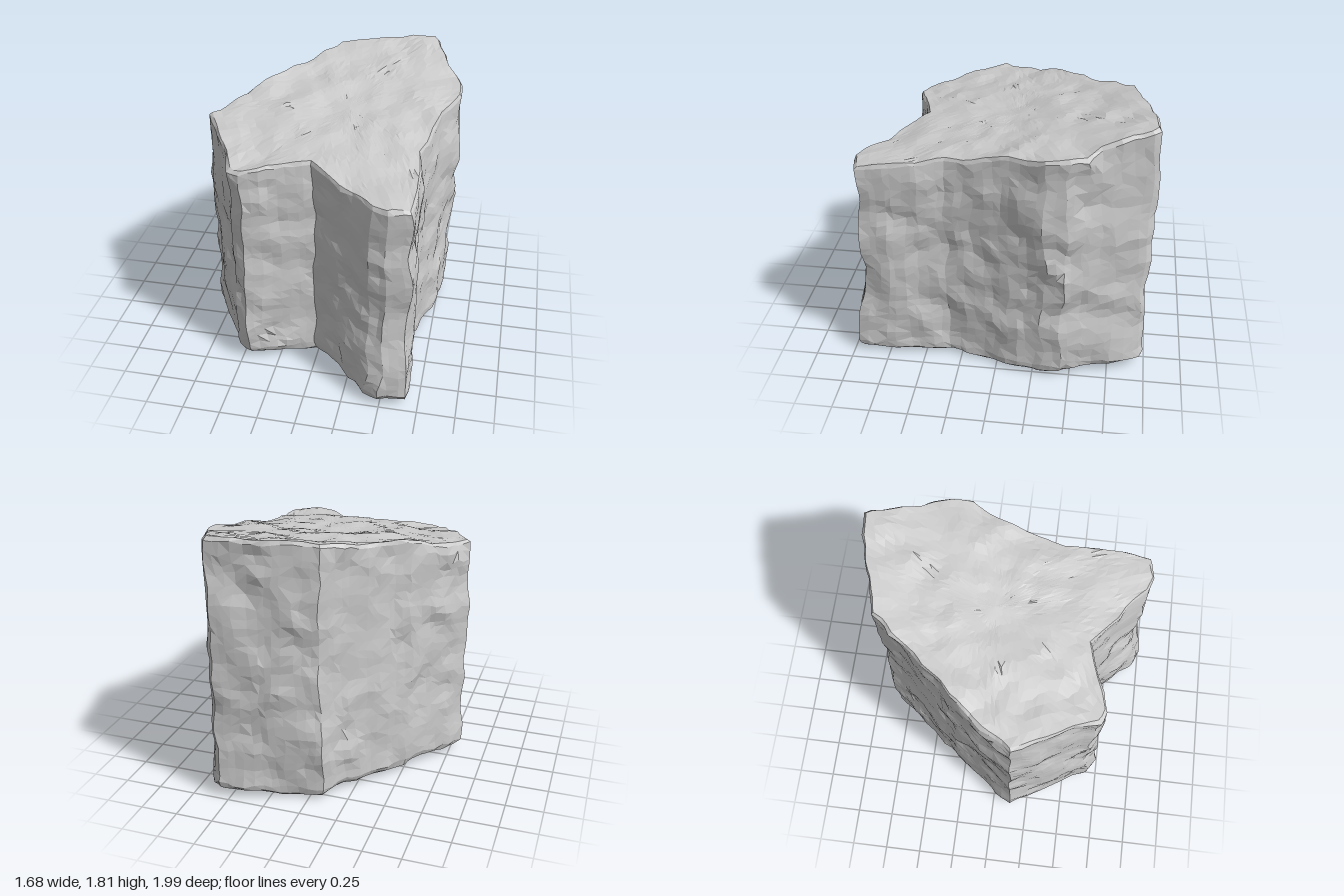
import * as THREE from 'three';

// Plan of the boulder as [x, z], counter-clockwise seen from above
const PLAN = [
  [0.57, -0.985], [0.24, -0.91], [-0.09, -0.825], [-0.45, -0.37], [-0.53, -0.3], [-0.82, 0.12], [-0.64, 0.45],
  [-0.53, 0.65], [-0.45, 0.7], [-0.22, 0.62], [-0.02, 0.54], [0.22, 0.74], [0.4, 0.9], [0.5, 0.93],
  [0.65, 0.89], [0.67, 0.72], [0.63, 0.33], [0.7, 0.02], [0.81, -0.32], [0.81, -0.45], [0.71, -0.66], [0.6, -0.95],
];
const CENTRE = [0.1, -0.08];
const WALL_ROWS = 26, CAP_RINGS = 14, STEP = 0.06;
const { smoothstep } = THREE.MathUtils;

// Seeded lattice value in -1..1
function hash(x, y, z, seed) {
  let h = Math.imul(x, 374761393) ^ Math.imul(y, 668265263) ^ Math.imul(z, 873305469) ^ Math.imul(seed, 974634777);
  h = Math.imul(h ^ (h >>> 13), 1274126177);
  h = Math.imul(h ^ (h >>> 15), 2246822519);
  return ((h ^ (h >>> 16)) >>> 0) / 2147483648 - 1;
}

// Linear lattice noise on a tilted lattice, which leaves crisp creases at odd angles
function noise(px, py, pz, frequency, seed) {
  const x = (0.64 * px + 0.6 * py - 0.48 * pz) * frequency;
  const y = (-0.48 * px + 0.8 * py + 0.36 * pz) * frequency;
  const z = (0.6 * px + 0.8 * pz) * frequency;
  const i = Math.floor(x), j = Math.floor(y), k = Math.floor(z);
  let sum = 0;
  for (let c = 0; c < 8; c++) {
    const a = c & 1, b = (c >> 1) & 1, d = c >> 2;
    const w = (a ? x - i : 1 - x + i) * (b ? y - j : 1 - y + j) * (d ? z - k : 1 - z + k);
    sum += w * hash(i + a, j + b, k + d, seed);
  }
  return sum;
}

// Chipped-stone displacement: walls move sideways, underside and top move up and down
function chip(x, y, z, sideways, upright) {
  const push = (seed) => 0.026 * noise(x, y, z, 4, seed) + 0.024 * noise(x, y, z, 9, seed + 5);
  return [
    x + push(1) * sideways,
    Math.max(0, y + push(2) * upright),
    THREE.MathUtils.clamp(z + push(3) * sideways, -1, 1),
  ];
}

// Outline split into short, even steps
function subdividedPlan() {
  const points = [];
  PLAN.forEach(([x, z], i) => {
    const [nx, nz] = PLAN[(i + 1) % PLAN.length];
    const n = Math.max(1, Math.round(Math.hypot(nx - x, nz - z) / STEP));
    for (let k = 0; k < n; k++) {
      // Uneven spacing inside each edge, with the corners kept
      const t = k ? (k + 0.25 * hash(i, k, 3, 21)) / n : 0;
      points.push([x + (nx - x) * t, z + (nz - z) * t]);
    }
  });
  return points;
}

export function createModel() {
  const plan = subdividedPlan();
  const n = plan.length;

  // Rows as [plan scale, height fraction, vertical jitter]
  const rows = [];
  // Underside, with a worn lower edge
  for (let r = 0; r < CAP_RINGS; r++) rows.push([0.94 * r / CAP_RINGS, 0, 0]);
  rows.push([0.95, 0, 0], [0.985, 0.012, 0.004]);
  // Walls
  for (let r = 0; r <= WALL_ROWS; r++) {
    rows.push([1, 0.035 + 0.95 * r / WALL_ROWS, r < WALL_ROWS ? 0.011 : 0.005]);
  }
  // Sloping top
  for (let r = CAP_RINGS; r >= 0; r--) rows.push([0.98 * r / CAP_RINGS, 1, 0]);

  const positions = [];
  rows.forEach(([scale, height, jitter], r) => {
    plan.forEach(([px, pz], i) => {
      // Cap rings wander in and out, most strongly halfway to the rim
      const s = scale + 0.09 * scale * (1 - scale) * hash(r, i, 5, 31);
      const t = height + jitter * hash(r, i, 9, 41);
      let x = CENTRE[0] + (px - CENTRE[0]) * s;
      let z = CENTRE[1] + (pz - CENTRE[1]) * s;
      const y = 0.035 + t * (1.58 - 0.18 * z);
      const low = 1 - smoothstep(y, 0.15, 0.55);
      // The front spur swells into a toe near the ground
      x += 0.03 * low * smoothstep(z, 0.45, 0.7) * smoothstep(x, 0.45, 0.65);
      z += 0.06 * low * smoothstep(z, 0.6, 0.9);
      // The right-hand corner leans in towards its foot
      x -= 0.025 * smoothstep(x, 0.7, 0.82) * (1 - smoothstep(y, 0.3, 1.4));
      // Slanting gouge on the left front face
      const gouge = 1 - smoothstep(Math.abs(x + 0.6 - (0.72 - y) * 0.4), 0, 0.1);
      z -= 0.035 * gouge * smoothstep(z, 0.15, 0.4) * smoothstep(y, 0.4, 0.55) * (1 - smoothstep(y, 0.95, 1.1));
      positions.push(...chip(x, y, z, s ** 6, height > 0.02 && height < 0.95 ? 0.4 : 0.9));
    });
  });

  const index = [];
  for (let r = 0; r < rows.length - 1; r++) {
    for (let i = 0; i < n; i++) {
      const a = r * n + i, b = r * n + (i + 1) % n, c = b + n, d = a + n;
      // Alternate the diagonals irregularly for uneven facets
      if (hash(r, i, 7, 11) > 0) index.push(a, b, c, a, c, d);
      else index.push(a, b, d, b, c, d);
    }
  }

  const geometry = new THREE.BufferGeometry();
  geometry.setAttribute('position', new THREE.Float32BufferAttribute(positions, 3));
  geometry.setIndex(index);
  geometry.computeVertexNormals();

  const boulder = new THREE.Mesh(geometry, new THREE.MeshStandardMaterial({ color: 0xcccccc, flatShading: true }));
  boulder.name = 'boulder';
  const group = new THREE.Group();
  group.name = 'rock';
  group.add(boulder);
  return group;
}
